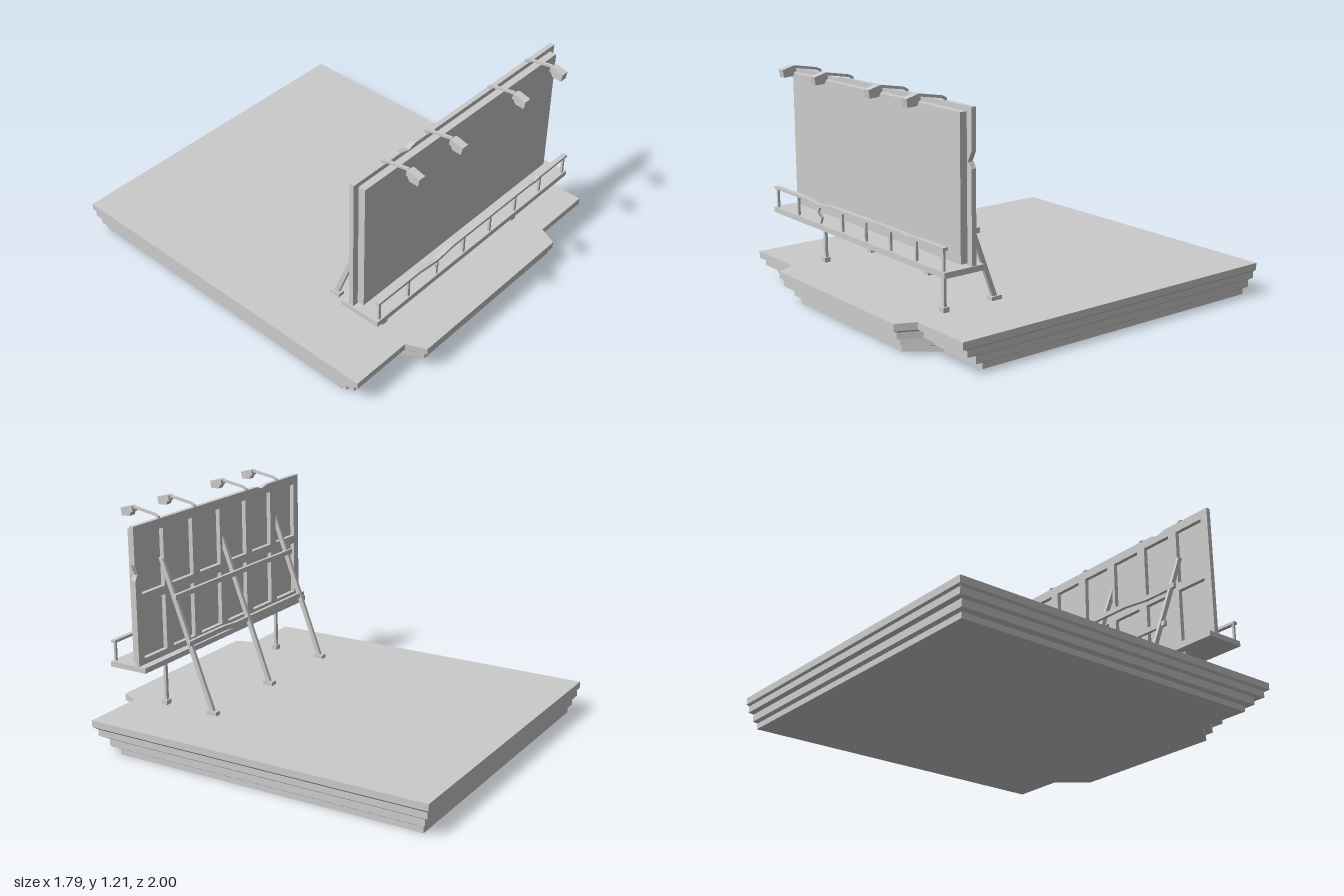
import * as THREE from 'three';

const grey = new THREE.MeshStandardMaterial({ color: 0xcccccc, flatShading: true });

function add(parent, name, geometry, x = 0, y = 0, z = 0) {
  const mesh = new THREE.Mesh(geometry, grey);
  mesh.name = name;
  mesh.position.set(x, y, z);
  parent.add(mesh);
  return mesh;
}

// Box given by its extents
function block(parent, name, [x0, x1], [y0, y1], [z0, z1]) {
  return add(parent, name, new THREE.BoxGeometry(x1 - x0, y1 - y0, z1 - z0),
    (x0 + x1) / 2, (y0 + y1) / 2, (z0 + z1) / 2);
}

// Skin over cross-section rings, closed with a fan at each end
function loft(rings) {
  const pos = [];
  const tri = (...pts) => pts.forEach((p) => pos.push(...p));
  const n = rings[0].length;
  const centre = (ring) => [0, 1, 2].map((a) => ring.reduce((s, p) => s + p[a], 0) / n);
  const first = rings[0], last = rings[rings.length - 1];
  const c0 = centre(first), c1 = centre(last);
  for (let k = 0; k < n; k++) {
    const j = (k + 1) % n;
    for (let i = 0; i < rings.length - 1; i++) {
      const a = rings[i], b = rings[i + 1];
      tri(a[k], a[j], b[j], a[k], b[j], b[k]);
    }
    tri(c0, first[j], first[k]);
    tri(c1, last[k], last[j]);
  }
  const geometry = new THREE.BufferGeometry();
  geometry.setAttribute('position', new THREE.Float32BufferAttribute(pos, 3));
  geometry.computeVertexNormals();
  return geometry;
}

// Rectangular bar along a path that advances on one axis (0 x, 1 y, 2 z)
function bar(path, axis, u, v) {
  const a = (axis + 1) % 3, b = (axis + 2) % 3;
  return loft(path.map((p) => [[1, -1], [1, 1], [-1, 1], [-1, -1]].map(([s, t]) => {
    const q = [...p];
    q[a] += s * u / 2;
    q[b] += t * v / 2;
    return q;
  })));
}

// Stepped base with a bay projecting at the front
function buildBase(group) {
  const tiers = [ // y0, y1, half width, back, front, bay front, bay inner and outer half width
    [0, 0.03, 0.85, -0.955, 0.76, 0.915, 0.445, 0.565],
    [0.042, 0.08, 0.87, -0.97, 0.81, 0.94, 0.47, 0.565],
    [0.09, 0.124, 0.885, -0.99, 0.87, 0.98, 0.505, 0.56],
    [0.134, 0.17, 0.895, -1, 0.9, 1, 0.51, 0.555],
  ];
  const rings = [];
  for (const [y0, y1, w, back, front, bay, bi, bo] of tiers) {
    for (const y of [y0, y1]) {
      rings.push([[-bi, bay], [bi, bay], [bo, front], [w, front],
        [w, back], [-w, back], [-w, front], [-bo, front]].map(([x, z]) => [x, y, z]));
    }
  }
  add(group, 'base', loft(rings));
}

// Display panel backed by a chipped frame with two rows of six bays
function buildBoard(group) {
  block(group, 'panel', [-0.707, 0.707], [0.45, 1.137], [0.73, 0.768]);
  const outline = [[-0.74, 0.44], [0.74, 0.44], [0.74, 0.885], [0.725, 0.915], [0.712, 0.908],
    [0.728, 0.94], [0.74, 0.965], [0.74, 1.16], [-0.33, 1.16], [-0.37, 1.145], [-0.43, 1.16], [-0.74, 1.16]];
  const shape = new THREE.Shape(outline.map(([x, y]) => new THREE.Vector2(x, y)));
  for (let i = 0; i < 6; i++) {
    const x0 = -0.695 + i * 0.241, x1 = x0 + 0.185;
    for (const [y0, y1] of [[0.475, 0.765], [0.81, 1.11]]) {
      shape.holes.push(new THREE.Path([[x0, y0], [x0, y1], [x1, y1], [x1, y0]]
        .map(([x, y]) => new THREE.Vector2(x, y))));
    }
  }
  add(group, 'backFrame', new THREE.ExtrudeGeometry(shape, { depth: 0.025, bevelEnabled: false }), 0, 0, 0.706);
}

// Walkway and its dented railing
function buildWalkway(group) {
  block(group, 'walkway', [-0.745, 0.745], [0.415, 0.443], [0.665, 0.885]);
  const rail = [[-0.735, 0.547], [-0.45, 0.547], [-0.31, 0.532], [-0.2, 0.547],
    [0.41, 0.547], [0.46, 0.542], [0.5, 0.547], [0.735, 0.547]];
  add(group, 'handrail', bar(rail.map(([x, y]) => [x, y, 0.872]), 0, 0.014, 0.025));
  for (let i = 0; i < 8; i++) {
    const x = -0.72 + i * 0.2057;
    const bent = i === 2; // one post is buckled
    const path = bent
      ? [[x, 0.44, 0.872], [x + 0.008, 0.475, 0.866], [x - 0.004, 0.505, 0.88], [x, 0.53, 0.872]]
      : [[x, 0.44, 0.872], [x, 0.542, 0.872]];
    add(group, 'railPost', bar(path, 1, 0.012, 0.013));
  }
}

// Front posts, rear braces and the two bent cross bars
function buildSupports(group) {
  for (const x of [-0.515, 0.515]) {
    add(group, 'post', bar([[x, 0.17, 0.72], [x, 0.42, 0.72]], 1, 0.015, 0.018));
    block(group, 'postFoot', [x - 0.018, x + 0.018], [0.168, 0.195], [0.705, 0.738]);
  }
  for (const x of [-0.515, 0, 0.515]) {
    add(group, 'brace', bar([[x, 0.18, 0.425], [x, 0.955, 0.718]], 1, 0.026, 0.018));
    block(group, 'braceFoot', [x - 0.018, x + 0.018], [0.168, 0.19], [0.395, 0.455]);
  }
  add(group, 'upperCrossBar', bar([[-0.55, 0.76, 0.636], [-0.34, 0.76, 0.636],
    [-0.2, 0.768, 0.622], [0.545, 0.768, 0.62]], 0, 0.026, 0.018));
  add(group, 'lowerCrossBar', bar([[-0.55, 0.522, 0.556], [0.14, 0.522, 0.556],
    [0.24, 0.535, 0.546], [0.545, 0.535, 0.544]], 0, 0.026, 0.018));
}

// Floodlight on a cranked arm
function buildLamp(group, x) {
  const lamp = new THREE.Group();
  lamp.name = 'lamp';
  lamp.position.x = x;
  group.add(lamp);
  block(lamp, 'armStem', [-0.006, 0.006], [1.11, 1.168], [0.709, 0.723]);
  add(lamp, 'arm', bar([[0, 1.165, 0.71], [0, 1.178, 0.735], [0, 1.2, 0.865]], 2, 0.012, 0.013));
  const profile = [[0.862, 1.178], [0.866, 1.204], [0.878, 1.207], [0.938, 1.191],
    [0.932, 1.152], [0.882, 1.155], [0.872, 1.175]];
  // Side profile swept across the lamp, given in (y, z) order along +x
  const ring = (px) => profile.map(([z, y]) => [px, y, z]);
  add(lamp, 'lampHead', loft([ring(-0.02), ring(0.02)]));
}

export function createModel() {
  const group = new THREE.Group();
  group.name = 'billboard';
  buildBase(group);
  buildBoard(group);
  buildWalkway(group);
  buildSupports(group);
  for (const x of [-0.53, -0.233, 0.233, 0.53]) buildLamp(group, x);
  return group;
}
